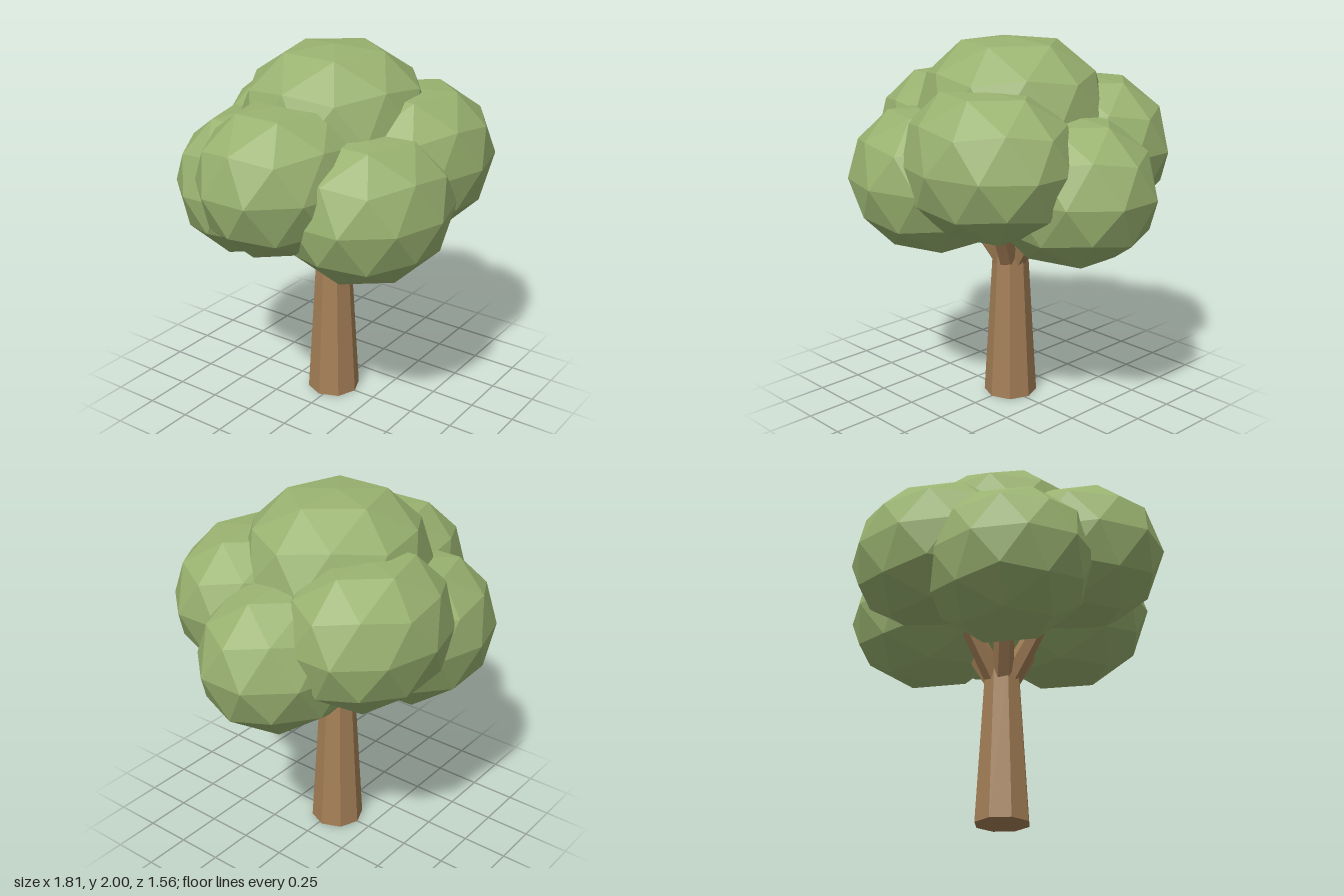
import * as THREE from 'three';

const CENTRE_Z = -0.022;

// Twenty-sided ball, split once, with a corner pointing up; the two poles are pressed in
function leafGeometry(topPole, bottomPole) {
  const geo = new THREE.IcosahedronGeometry(1, 1);
  geo.rotateX(-Math.atan((1 + Math.sqrt(5)) / 2));
  geo.rotateY(Math.PI / 2);
  const pos = geo.attributes.position;
  for (let i = 0; i < pos.count; i++) {
    if (pos.getY(i) > 0.98) pos.setY(i, topPole);
    if (pos.getY(i) < -0.98) pos.setY(i, -bottomPole);
  }
  return geo;
}

// Tapered limb between two points
function limb(name, from, to, r0, r1, sides, material) {
  const dir = to.clone().sub(from);
  const mesh = new THREE.Mesh(new THREE.CylinderGeometry(r1, r0, dir.length(), sides), material);
  mesh.name = name;
  mesh.position.copy(from).addScaledVector(dir, 0.5);
  mesh.quaternion.setFromUnitVectors(new THREE.Vector3(0, 1, 0), dir.normalize());
  return mesh;
}

// Ring of leaf clumps from the left side round the front: height, radii, pole factors
const CLUMPS = [
  { y: 1.265, r: [0.51, 0.415, 0.41], poles: [0.92, 0.99] },
  { y: 1.415, r: [0.5, 0.415, 0.415], poles: [0.88, 0.92] },
  { y: 1.275, r: [0.487, 0.41, 0.435], poles: [0.9, 0.91] },
  { y: 1.415, r: [0.51, 0.415, 0.415], poles: [0.88, 0.92] },
  { y: 1.265, r: [0.47, 0.415, 0.405], poles: [0.92, 0.99] },
  { y: 1.415, r: [0.495, 0.415, 0.405], poles: [0.88, 0.92] },
];

export function createModel() {
  const tree = new THREE.Group();
  tree.name = 'tree';

  const bark = new THREE.MeshStandardMaterial({ color: 0xa47f57, flatShading: true });
  bark.name = 'bark brown';
  const leaf = new THREE.MeshStandardMaterial({ color: 0x99b270, flatShading: true });
  leaf.name = 'leaf green';

  // Trunk
  tree.add(limb('trunk', new THREE.Vector3(0, 0, CENTRE_Z), new THREE.Vector3(0, 0.83, CENTRE_Z),
    0.147, 0.097, 8, bark));

  const clump = (name, x, y, z, r, poles) => {
    const mesh = new THREE.Mesh(leafGeometry(...poles), leaf);
    mesh.name = name;
    mesh.position.set(x, y, z);
    mesh.scale.set(...r);
    tree.add(mesh);
  };

  // Leaf clumps at alternating heights, each held by a branch
  CLUMPS.forEach(({ y, r, poles }, i) => {
    const a = (i * Math.PI) / 3;
    const c = Math.cos(a), s = Math.sin(a);
    clump('leafClump' + (i + 1), 0.42 * c, y, 0.415 * s + CENTRE_Z, r, poles);
    tree.add(limb('branch' + (i + 1),
      new THREE.Vector3(0.03 * c, 0.77, 0.03 * s + CENTRE_Z),
      new THREE.Vector3(0.26 * c, 1.13, 0.26 * s + CENTRE_Z), 0.06, 0.047, 6, bark));
  });

  // Crown clump on top, round when seen from above
  clump('crownClump', 0.01, 1.605, CENTRE_Z, [0.525, 0.435, 0.5], [0.91, 0.92]);

  return tree;
}
